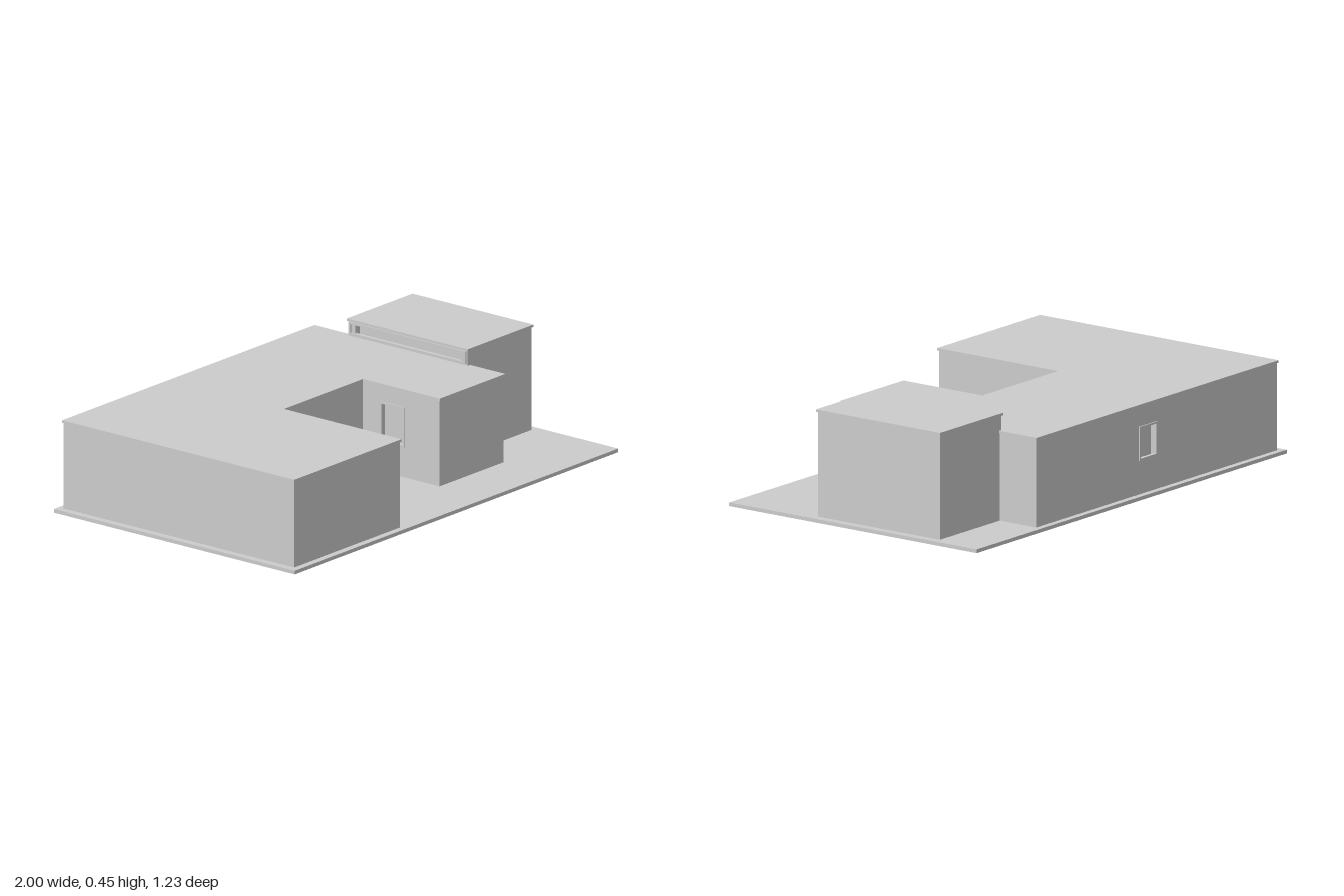
import * as THREE from 'three';

const BASE = 0.015, WALL = 0.035, LIP = 0.005, CAP = 0.01;
const plaster = new THREE.MeshStandardMaterial({ color: 0xcccccc });
plaster.name = 'light grey';

function part(name, geometry) {
  const mesh = new THREE.Mesh(geometry, plaster);
  mesh.name = name;
  return mesh;
}

// Rectangle path given as left, right, bottom, top
function trace(path, u0, u1, y0, y1) {
  path.moveTo(u0, y0);
  path.lineTo(u1, y0);
  path.lineTo(u1, y1);
  path.lineTo(u0, y1);
  path.closePath();
  return path;
}

const extrude = (shape, depth) => new THREE.ExtrudeGeometry(shape, { depth, bevelEnabled: false });

// Wall from a to b (x, z), facing right of travel seen from above's far side, with optional window
function wall(a, b, height, opening) {
  const group = new THREE.Group();
  group.name = 'wall';
  const dx = b[0] - a[0], dz = b[1] - a[1];
  group.position.set(a[0], 0, a[1]);
  group.rotation.y = Math.atan2(-dz, dx);

  const face = trace(new THREE.Shape(), 0, Math.hypot(dx, dz), BASE, height);
  if (opening) {
    const [u0, u1, y0, y1] = opening, bar = 0.008;
    face.holes.push(trace(new THREE.Path(), u0, u1, y0, y1));

    // Slim frame standing just proud of the wall
    const rim = trace(new THREE.Shape(), u0, u1, y0, y1);
    rim.holes.push(trace(new THREE.Path(), u0 + bar, u1 - bar, y0 + bar, y1 - bar));
    const frame = part('windowFrame', extrude(rim, 0.015));
    frame.position.z = -0.01;

    // Recessed pane
    const pane = part('windowPane', new THREE.BoxGeometry(u1 - u0, y1 - y0, 0.005));
    pane.position.set((u0 + u1) / 2, (y0 + y1) / 2, -WALL + 0.005);
    group.add(frame, pane);
  }
  const panel = part('wallPanel', extrude(face, WALL));
  panel.position.z = -WALL;
  group.add(panel);
  return group;
}

// Move every edge of an axis-aligned plan outward by d
function grow(plan, d) {
  return plan.map((p, i) => {
    const prev = plan[(i + plan.length - 1) % plan.length];
    const next = plan[(i + 1) % plan.length];
    let [x, z] = p;
    for (const [s, e] of [[prev, p], [p, next]]) {
      x -= Math.sign(e[1] - s[1]) * d;
      z += Math.sign(e[0] - s[0]) * d;
    }
    return [x, z];
  });
}

// Walls around a plan, closed by a flat roof with a small overhang
function block(name, plan, height, windows) {
  const group = new THREE.Group();
  group.name = name;
  plan.forEach((p, i) => {
    group.add(wall(p, plan[(i + 1) % plan.length], height - CAP, windows[i]));
  });
  const outline = new THREE.Shape(grow(plan, LIP).map(([x, z]) => new THREE.Vector2(x, -z)));
  const roof = part('roof', extrude(outline, CAP));
  roof.rotation.x = -Math.PI / 2;
  roof.position.y = height - CAP;
  group.add(roof);
  return group;
}

export function createModel() {
  const model = new THREE.Group();
  model.name = 'house';

  const slab = part('groundSlab', new THREE.BoxGeometry(2, BASE, 1.226));
  slab.position.y = BASE / 2;
  model.add(slab);

  // U-shaped main wing around an open court
  const mainPlan = [
    [-0.97, 0.585], [-0.315, 0.585], [-0.315, -0.015], [0.185, -0.015],
    [0.185, 0.375], [0.58, 0.375], [0.58, -0.587], [-0.97, -0.587],
  ];
  model.add(block('mainWing', mainPlan, 0.38, {
    3: [0.09, 0.215, 0.14, 0.305],
    6: [0.66, 0.775, 0.152, 0.29],
  }));

  // Taller side block with a front window and a clerestory strip
  const annexPlan = [[0.57, 0.2], [0.966, 0.2], [0.966, -0.405], [0.57, -0.405]];
  model.add(block('tallBlock', annexPlan, 0.45, {
    0: [0.072, 0.158, 0.172, 0.312],
    3: [0.006, 0.599, 0.386, 0.438],
  }));

  return model;
}
